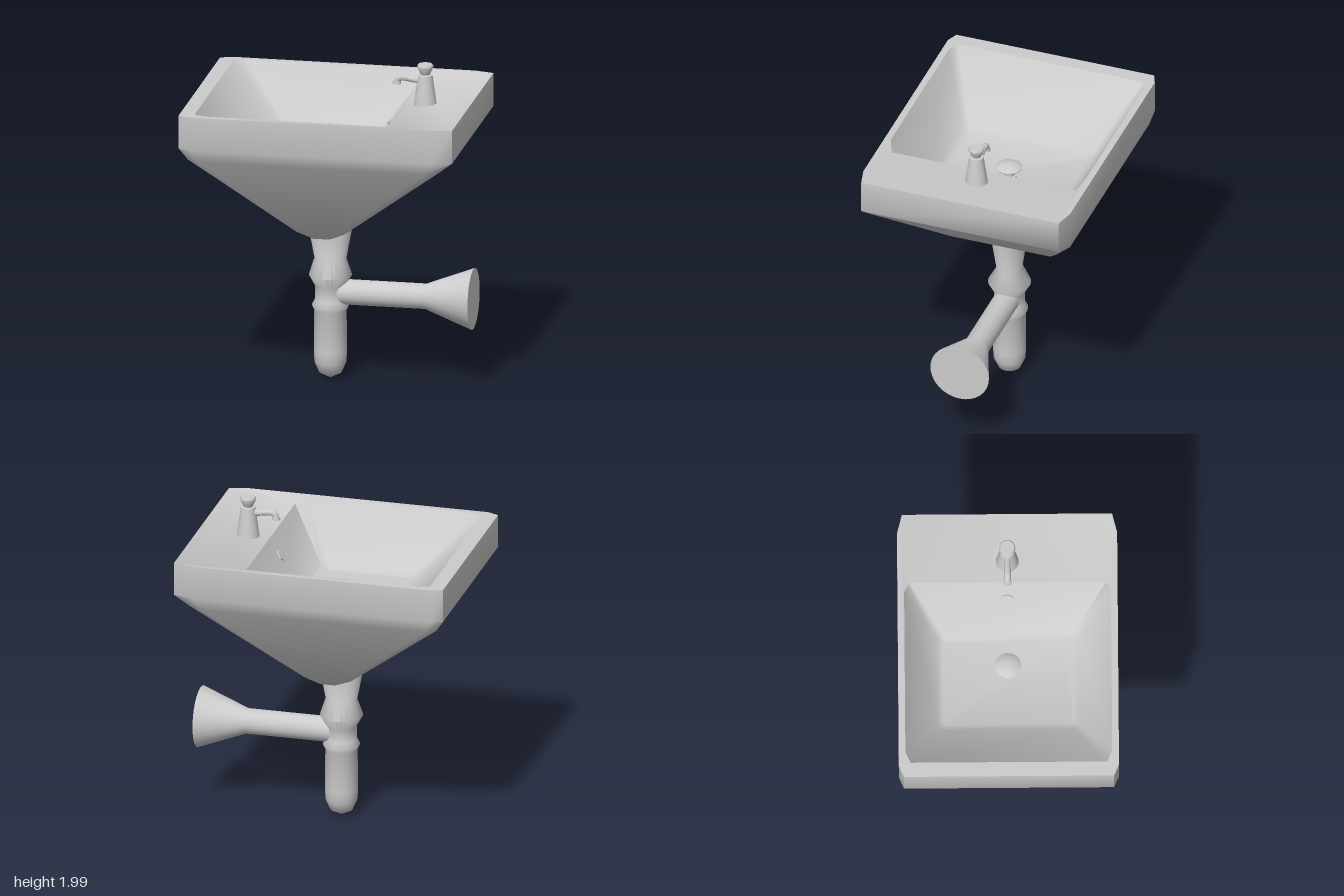
import * as THREE from 'three';
import { toCreasedNormals } from 'three/addons/utils/BufferGeometryUtils.js';

const material = new THREE.MeshStandardMaterial({ color: 0xcccccc, side: THREE.DoubleSide });
const V = (x, y, z = 0) => new THREE.Vector3(x, y, z);

function addMesh(parent, name, geometry, position = [0, 0, 0], crease = 0.7) {
  const mesh = new THREE.Mesh(toCreasedNormals(geometry, crease), material);
  mesh.name = name;
  mesh.position.set(...position);
  parent.add(mesh);
  return mesh;
}

// Turned part from [radius, y] pairs, listed from bottom to top
function turned(profile, sides = 32) {
  return new THREE.LatheGeometry(profile.map(([r, y]) => new THREE.Vector2(r, y)), sides);
}

// Rectangle with cut corners, anticlockwise from above; the right side may drop
function cutRectangle([y, x0, x1, z, cut0, cut1, cutZ, drop = 0]) {
  return [
    V(x1, y - drop, z - cutZ), V(x1, y - drop, cutZ - z), V(x1 - cut1, y, -z), V(x0 + cut0, y, -z),
    V(x0, y, cutZ - z), V(x0, y, z - cutZ), V(x0 + cut0, y, z), V(x1 - cut1, y, z),
  ];
}

// Skin over a series of loops, with an optional cap at either end
function skin(loops, capStart, capEnd) {
  const n = loops[0].length, last = (loops.length - 1) * n, index = [];
  for (let i = 0; i < last; i += n) {
    for (let j = 0; j < n; j++) {
      const a = i + j, b = i + (j + 1) % n;
      index.push(a, b, b + n, a, b + n, a + n);
    }
  }
  for (let j = 1; j < n - 1; j++) {
    if (capStart) index.push(0, j + 1, j);
    if (capEnd) index.push(last, last + j, last + j + 1);
  }
  const geometry = new THREE.BufferGeometry().setFromPoints(loops.flat());
  geometry.setIndex(index);
  return geometry;
}

export function createModel() {
  const model = new THREE.Group();
  model.name = 'washbasin';

  // Basin rows: y, left x, right x, half depth, corner cuts in x, x and z, drop
  // The rim's right side drops so that the tap deck drains into the bowl
  const rim = [1.78, -0.75, 0.41, 0.62, 0.07, 0.07, 0.03, 0.04];
  const outside = [
    [0.962, -0.10, 0.03, 0.31, 0.02, 0.02, 0.02],
    [1.00, -0.18, 0.11, 0.345, 0.04, 0.04, 0.03],
    [1.50, -0.79, 0.74, 0.64, 0.06, 0.08, 0.04],
    [1.575, -0.84, 0.832, 0.66, 0.07, 0.12, 0.03],
    [1.78, -0.84, 0.832, 0.66, 0.07, 0.12, 0.03],
    rim,
  ];
  const inside = [
    rim,
    [1.44, -0.42, 0.195, 0.425, 0.03, 0.03, 0.03],
    [1.42, -0.38, 0.16, 0.39, 0.02, 0.02, 0.02],
  ];
  addMesh(model, 'basin', skin(outside.map(cutRectangle), true, false), [0, 0, 0], 1.1);
  addMesh(model, 'bowl', skin(inside.map(cutRectangle), false, true), [0, 0, 0], 1.1);

  // Drain stopper on its stem
  const drain = new THREE.Group();
  drain.name = 'drain';
  drain.position.set(-0.03, 1.42, 0);
  model.add(drain);
  addMesh(drain, 'drainStem', turned([[0.045, 0], [0.045, 0.012], [0.032, 0.015], [0.032, 0.06]], 20));
  addMesh(drain, 'drainStopper', turned([
    [0, 0.05], [0.045, 0.052], [0.078, 0.066], [0.08, 0.072], [0.06, 0.086], [0.03, 0.094], [0, 0.096],
  ]));

  // Overflow plate set in the sloping bowl wall
  const overflow = addMesh(model, 'overflow', new THREE.CylinderGeometry(0.036, 0.036, 0.016, 20), [0.338, 1.64, 0]);
  overflow.rotation.z = Math.atan2(0.3, 0.215);

  // Tap: body with knob, and spout
  const tap = new THREE.Group();
  tap.name = 'tap';
  tap.position.set(0.542, 1.78, 0);
  model.add(tap);
  addMesh(tap, 'tapBody', turned([
    [0, -0.04], [0.07, -0.04], [0.043, 0.152], [0.025, 0.155], [0.025, 0.165],
  ]));
  addMesh(tap, 'tapKnob', turned([
    [0.026, 0.155], [0.034, 0.17], [0.048, 0.202], [0.048, 0.212], [0.042, 0.22], [0, 0.22],
  ]));
  const spoutPath = new THREE.CatmullRomCurve3([
    V(0, 0.115), V(-0.07, 0.122), V(-0.13, 0.13), V(-0.162, 0.124), V(-0.174, 0.098),
  ]);
  addMesh(tap, 'spout', new THREE.TubeGeometry(spoutPath, 20, 0.02, 14));
  addMesh(tap, 'spoutTip', new THREE.CylinderGeometry(0.024, 0.026, 0.018, 18), [-0.174, 0.098, 0]);

  // Bottle trap and tailpiece in one, flattened front to back above the collar
  const trap = turned([
    [0, 0.01], [0.068, 0.046], [0.096, 0.11], [0.1, 0.18], [0.097, 0.435], [0.112, 0.465],
    [0.094, 0.5], [0.092, 0.585], [0.13, 0.655], [0.097, 0.757], [0.142, 1.0], [0.142, 1.03],
  ]);
  const points = trap.attributes.position;
  for (let i = 0; i < points.count; i++) {
    if (points.getY(i) > 0.7) points.setZ(i, points.getZ(i) * 0.77);
  }
  addMesh(model, 'bottleTrap', trap, [-0.038, 0, 0], 1);

  // Waste pipe to the wall, with flared end
  const pipe = addMesh(model, 'wastePipe', turned([
    [0.077, 0], [0.077, 0.585], [0.187, 0.875], [0, 0.875],
  ]), [-0.038, 0.55, 0], 0.5);
  pipe.rotation.z = -Math.PI / 2;

  return model;
}
